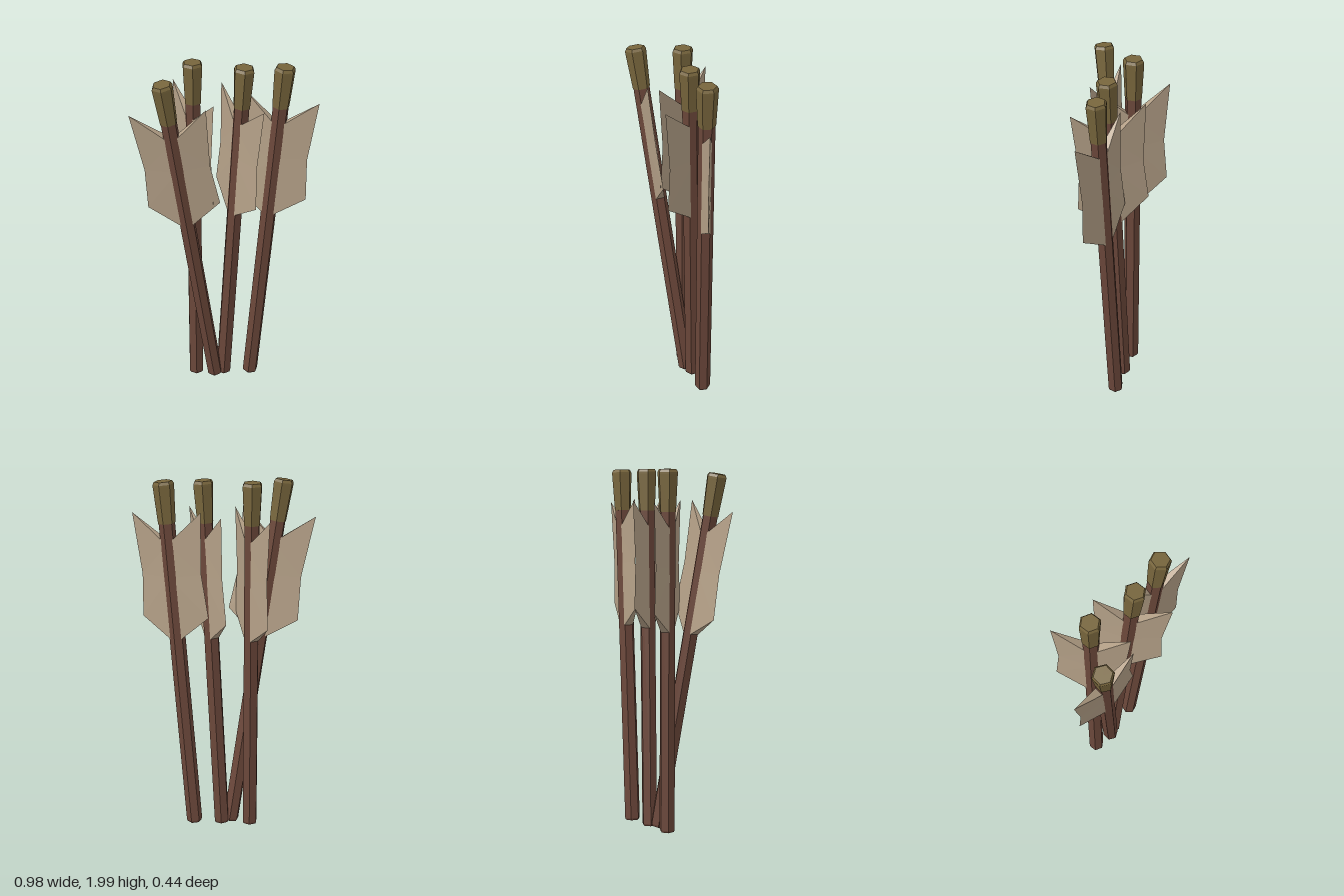
import * as THREE from 'three';

const shaftMat = new THREE.MeshStandardMaterial({ color: 0x6b473a });
shaftMat.name = 'brown wood';
const nockMat = new THREE.MeshStandardMaterial({ color: 0x77653c });
nockMat.name = 'dull brass';
const featherMat = new THREE.MeshStandardMaterial({ color: 0xb5a188 });
featherMat.name = 'tan feather';

const LENGTH = 1.98;

// Six-sided body from [radius, height] rings, closed by the zero radii at the ends
function hexBody(rings) {
  const points = rings.map(([r, y]) => new THREE.Vector2(r, y));
  const geometry = new THREE.LatheGeometry(points, 6).toNonIndexed();
  geometry.computeVertexNormals();
  return geometry;
}

// Wedge-shaped vane: thick at the shaft, sharp along its outer edge
function vaneGeometry() {
  const t = 0.03;
  const inner = [1.64, 1.46, 1.085];
  const outer = [[0.2, 1.81], [0.174, 1.47], [0.195, 1.23]];
  const positions = [];
  for (let i = 0; i < 3; i++) {
    positions.push(0, inner[i], t, 0, inner[i], -t, outer[i][0], outer[i][1], 0);
  }
  const index = [0, 2, 1, 6, 7, 8]; // top and bottom
  for (let i = 0; i < 2; i++) {
    const a = i * 3, b = a + 3;
    index.push(a, b, b + 2, a, b + 2, a + 2); // one side
    index.push(a + 1, b + 2, b + 1, a + 1, a + 2, b + 2); // other side
  }
  const indexed = new THREE.BufferGeometry();
  indexed.setAttribute('position', new THREE.Float32BufferAttribute(positions, 3));
  indexed.setIndex(index);
  const geometry = indexed.toNonIndexed();
  geometry.computeVertexNormals();
  return geometry;
}

const shaftGeo = hexBody([[0, 0], [0.039, 0], [0.044, 0.012], [0.044, 1.77], [0, 1.77]]);
const nockGeo = hexBody([[0, 1.755], [0.047, 1.755], [0.057, 1.955], [0.057, 1.965], [0.048, LENGTH], [0, LENGTH]]);
const vaneGeo = vaneGeometry();

function addMesh(parent, name, geometry, material) {
  const mesh = new THREE.Mesh(geometry, material);
  mesh.name = name;
  parent.add(mesh);
  return mesh;
}

// One arrow, standing at base, leaning towards top and spun about its own axis
function makeArrow({ name, base, top, spin }) {
  const arrow = new THREE.Group();
  arrow.name = name;
  addMesh(arrow, 'shaft', shaftGeo, shaftMat);
  addMesh(arrow, 'nock', nockGeo, nockMat);
  for (const [side, angle] of [['leftVane', -60], ['rightVane', 120]]) {
    addMesh(arrow, side, vaneGeo, featherMat).rotation.y = THREE.MathUtils.degToRad(angle);
  }

  const up = new THREE.Vector3(0, 1, 0);
  const start = new THREE.Vector3(...base);
  const direction = new THREE.Vector3(...top).sub(start).normalize();
  const twist = new THREE.Quaternion().setFromAxisAngle(up, THREE.MathUtils.degToRad(spin));
  arrow.position.copy(start);
  arrow.quaternion.setFromUnitVectors(up, direction).multiply(twist);
  return arrow;
}

export function createModel() {
  const model = new THREE.Group();
  model.name = 'arrowBundle';
  const arrows = [
    { name: 'uprightArrow', base: [-0.16, 0.015, -0.05], top: [-0.16, 1.995, -0.05], spin: 0 },
    { name: 'leaningArrow', base: [-0.05, 0.017, -0.025], top: [-0.32, 1.965, 0.157], spin: 52 },
    { name: 'middleArrow', base: [0, 0.013, -0.045], top: [0.104, 1.99, 0.017], spin: 0 },
    { name: 'outerArrow', base: [0.157, 0.01, -0.045], top: [0.315, 1.985, 0.008], spin: 42 },
  ];
  for (const arrow of arrows) model.add(makeArrow(arrow));
  return model;
}
